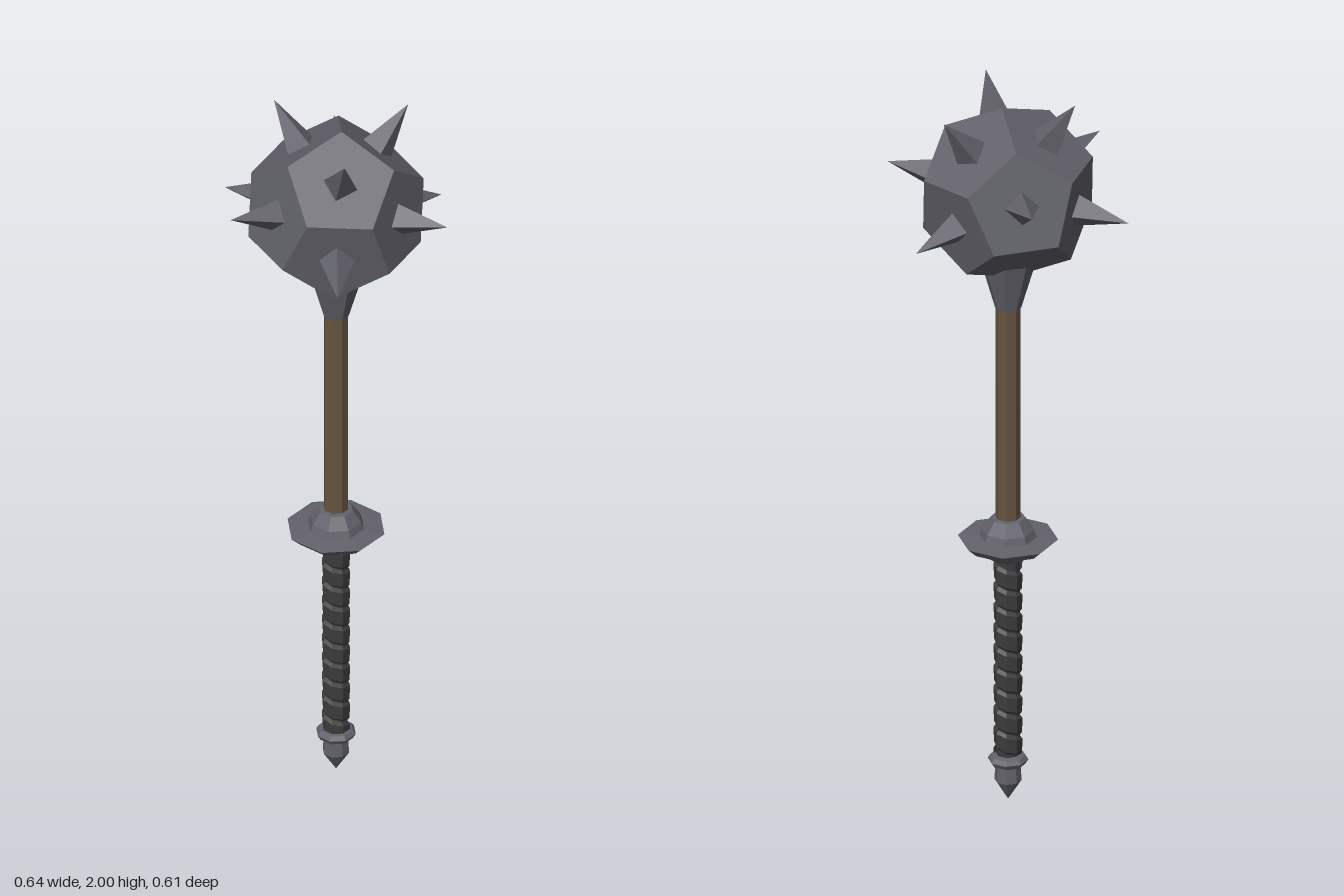
import * as THREE from 'three';

const makeMat = (name, color) => {
  const m = new THREE.MeshStandardMaterial({ color, flatShading: true });
  m.name = name;
  return m;
};

export function createModel() {
  const group = new THREE.Group();
  const steel = makeMat('dark steel', 0x63626b);
  const wood = makeMat('brown wood', 0x65543f);
  const leather = makeMat('black leather', 0x3d3d3d);
  leather.side = THREE.DoubleSide;

  const add = (name, geometry, material, parent = group) => {
    const mesh = new THREE.Mesh(geometry, material);
    mesh.name = name;
    parent.add(mesh);
    return mesh;
  };
  // Eight-sided turned part, profile listed from bottom to top as [radius, y]
  const turned = (name, profile, material) =>
    add(name, new THREE.LatheGeometry(profile.map(([r, y]) => new THREE.Vector2(r, y)), 8), material);

  // Pommel with its collar ring
  turned('pommel', [[0, 0], [0.035, 0.055], [0.033, 0.1], [0, 0.1]], steel);
  turned('pommelRing', [[0.03, 0.098], [0.045, 0.102], [0.053, 0.115], [0.045, 0.126], [0.03, 0.13]], steel);

  // Grip core and helical leather wrap
  turned('gripCore', [[0.031, 0.1], [0.031, 0.7]], leather);
  const turns = 9.5, pitch = 0.0585, sides = 8, startY = 0.125;
  const section = [[0.03, 0], [0.036, 0.008], [0.038, 0.048], [0.03, 0.0585]];
  const pos = [], index = [];
  const steps = turns * sides;
  for (let i = 0; i <= steps; i++) {
    const a = (i / sides) * Math.PI * 2;
    for (const [r, dy] of section) {
      const y = Math.min(startY + (i / sides - 0.5) * pitch + dy, 0.69);
      pos.push(r * Math.cos(a), y, r * Math.sin(a));
    }
    if (i === steps) break;
    for (let j = 0; j < section.length - 1; j++) {
      const p = i * section.length + j, q = p + section.length;
      index.push(p, p + 1, q, p + 1, q + 1, q);
    }
  }
  const wrap = new THREE.BufferGeometry();
  wrap.setAttribute('position', new THREE.Float32BufferAttribute(pos, 3));
  wrap.setIndex(index);
  wrap.computeVertexNormals();
  add('gripWrap', wrap, leather);

  // Octagonal guard with domed top
  turned('guard', [
    [0.03, 0.68], [0.04, 0.685], [0.068, 0.705], [0.07, 0.715], [0.105, 0.722], [0.13, 0.745],
    [0.075, 0.75], [0.068, 0.77], [0.045, 0.802], [0.03, 0.804],
  ], steel);

  // Shaft and flared socket below the head
  turned('shaft', [[0.032, 0.78], [0.032, 1.42]], wood);
  turned('headSocket', [[0.03, 1.4], [0.034, 1.4], [0.06, 1.49], [0.083, 1.57], [0, 1.6]], steel);

  // Twelve-sided head, resting on a corner with a slight lean
  const head = new THREE.Group();
  head.name = 'spikedHead';
  head.position.y = 1.728;
  group.add(head);
  const frame = (up, side) => {
    const y = up.clone().normalize();
    const x = side.clone().addScaledVector(y, -side.dot(y)).normalize();
    return new THREE.Matrix4().makeBasis(x, y, x.clone().cross(y));
  };
  const phi = (1 + Math.sqrt(5)) / 2;
  const az = THREE.MathUtils.degToRad(12);
  const from = frame(new THREE.Vector3(1, 1, 1), new THREE.Vector3(phi, 0, 1 / phi));
  const to = frame(new THREE.Vector3(0.065, 1, 0.012), new THREE.Vector3(Math.cos(az), 0, Math.sin(az)));
  const turn = to.multiply(from.transpose());
  add('headBall', new THREE.DodecahedronGeometry(0.238, 0).applyMatrix4(turn), steel, head);

  // One four-sided spike on each face except the three around the socket
  const base = 0.18, tip = 0.329;
  const spike = new THREE.ConeGeometry(0.048, tip - base, 4).translate(0, (base + tip) / 2, 0);
  for (const a of [-1, 1]) for (const b of [-phi, phi]) {
    for (const c of [[a, 0, b], [b, a, 0], [0, b, a]]) {
      const n = new THREE.Vector3(...c).normalize().applyMatrix4(turn);
      if (n.y < -0.5) continue;
      const side = new THREE.Vector3(-n.z, 0, n.x).normalize();
      const rise = new THREE.Vector3(0, 1, 0).addScaledVector(n, -n.y).normalize();
      const twist = n.y > 0.5 ? 0.35 : 0;
      side.multiplyScalar(Math.cos(twist)).addScaledVector(rise, Math.sin(twist));
      const mesh = add('spike', spike, steel, head);
      mesh.quaternion.setFromRotationMatrix(frame(n, side));
    }
  }
  return group;
}
